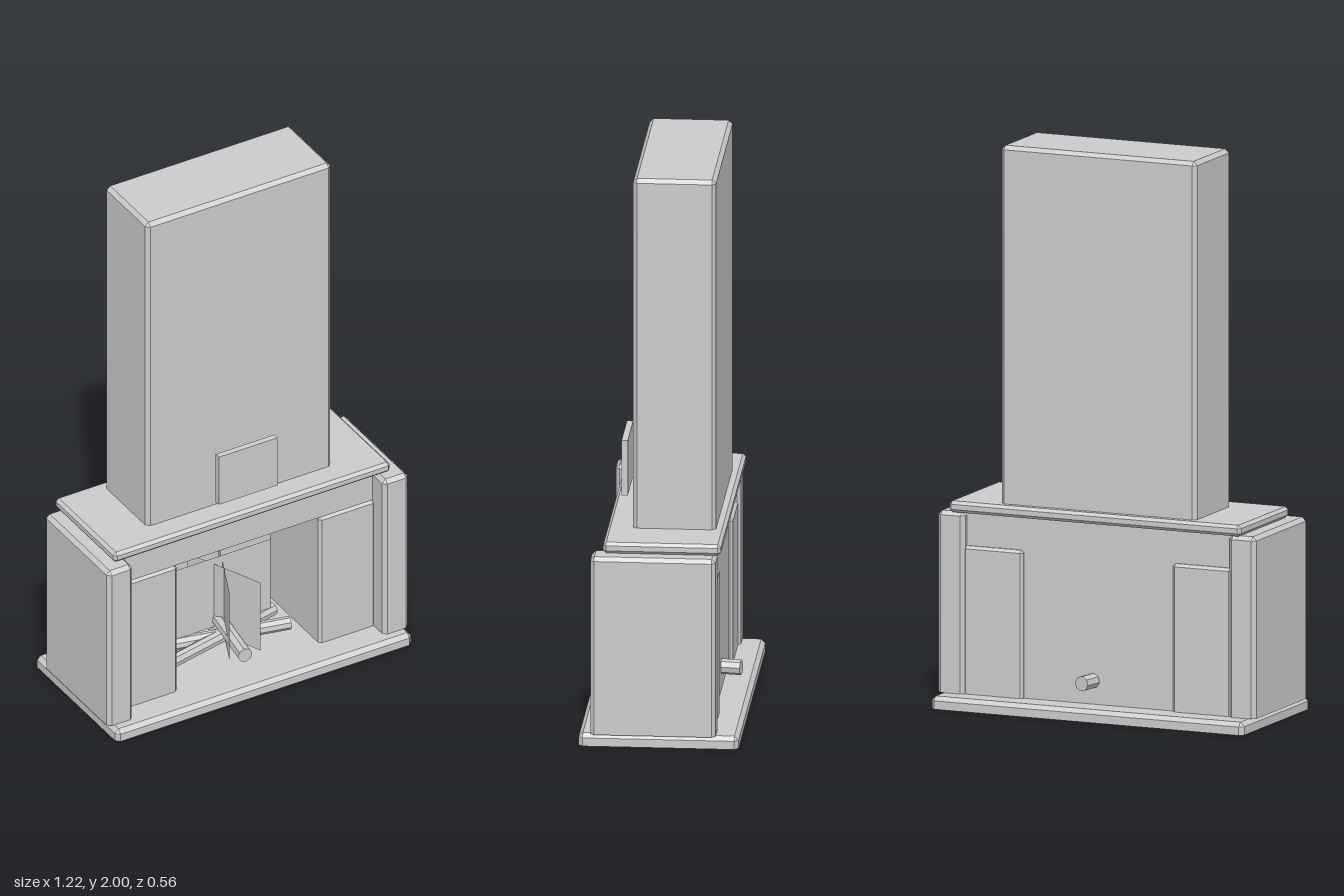
import * as THREE from 'three';
import { ConvexGeometry } from 'three/addons/geometries/ConvexGeometry.js';

// Box between two corners with chamfered edges; the bottom edges may stay square.
function chamferBox(x0, x1, y0, y1, z0, z1, c, squareBottom = true) {
  const pts = [];
  const add = (x, y, z) => pts.push(new THREE.Vector3(x, y, z));
  const octagon = (y) => {
    for (const [x, sx] of [[x0, 1], [x1, -1]])
      for (const [z, sz] of [[z0, 1], [z1, -1]]) {
        add(x + sx * c, y, z);
        add(x, y, z + sz * c);
      }
  };
  const rectangle = (y) => {
    for (const x of [x0 + c, x1 - c]) for (const z of [z0 + c, z1 - c]) add(x, y, z);
  };
  octagon(y1 - c);
  rectangle(y1);
  if (squareBottom) octagon(y0);
  else {
    octagon(y0 + c);
    rectangle(y0);
  }
  return new ConvexGeometry(pts);
}

export function createModel() {
  const model = new THREE.Group();
  model.name = 'fireplace';
  const stone = new THREE.MeshStandardMaterial({ color: 0xcccccc, flatShading: true, side: THREE.DoubleSide });
  stone.name = 'lightGrey';

  const addPart = (name, geometry, parent = model) => {
    const mesh = new THREE.Mesh(geometry, stone);
    mesh.name = name;
    parent.add(mesh);
    return mesh;
  };
  const box = (x0, x1, y0, y1, z0, z1) =>
    new THREE.BoxGeometry(x1 - x0, y1 - y0, z1 - z0)
      .translate((x0 + x1) / 2, (y0 + y1) / 2, (z0 + z1) / 2);

  // Hearth slab, mantel shelf and chimney breast
  addPart('hearthSlab', chamferBox(-0.6, 0.6, 0, 0.045, -0.28, 0.28, 0.015));
  addPart('mantelShelf', chamferBox(-0.56, 0.56, 0.69, 0.73, -0.215, 0.197, 0.011, false));
  addPart('chimneyBreast', chamferBox(-0.375, 0.375, 0.73, 2, -0.183, 0.107, 0.014));

  // Side pillars and the panels flanking the opening
  for (const [side, s] of [['left', 1], ['right', -1]]) {
    const span = (a, b) => (s > 0 ? [a, b] : [-b, -a]);
    addPart(side + 'Pillar', chamferBox(...span(0.507, 0.61), 0.045, 0.69, -0.2, 0.238, 0.014));
    addPart(side + 'Panel', chamferBox(...span(0.287, 0.515), 0.045, 0.57, -0.19, 0.168, 0.01));
  }

  // Lintel and back wall
  addPart('lintel', box(-0.51, 0.51, 0.57, 0.69, -0.175, 0.16));
  addPart('backWall', box(-0.51, 0.51, 0.045, 0.57, -0.175, -0.165));

  // Plaque in front of the chimney breast
  addPart('plaque', box(-0.12, 0.118, 0.77, 0.97, 0.145, 0.167));

  // Crossed flame sheets
  const fire = new THREE.Group();
  fire.name = 'fire';
  model.add(fire);
  const flame = (name, width, y0, y1, x, z, turn) => {
    const sheet = addPart(name, new THREE.PlaneGeometry(width, y1 - y0), fire);
    sheet.position.set(x, (y0 + y1) / 2, z);
    sheet.rotation.y = turn;
  };
  flame('wideFlame', 0.425, 0.1, 0.39, 0, -0.04, 0);
  flame('crossFlameA', 0.315, 0.08, 0.365, 0, 0, 1.16);
  flame('crossFlameB', 0.315, 0.08, 0.365, 0, 0, -1.16);

  // Logs, each between two end points
  const log = (name, from, to, radius) => {
    const a = new THREE.Vector3(...from), b = new THREE.Vector3(...to);
    const mesh = addPart(name, new THREE.CylinderGeometry(radius, radius, a.distanceTo(b), 8), fire);
    mesh.position.copy(a).add(b).multiplyScalar(0.5);
    mesh.quaternion.setFromUnitVectors(new THREE.Vector3(0, 1, 0), b.sub(a).normalize());
  };
  log('topLog', [0.035, 0.128, -0.245], [-0.035, 0.128, 0.203], 0.027);
  log('lowerLogA', [-0.24, 0.078, 0.045], [0.235, 0.078, -0.06], 0.024);
  log('lowerLogB', [-0.235, 0.078, -0.06], [0.24, 0.078, 0.045], 0.024);

  return model;
}
